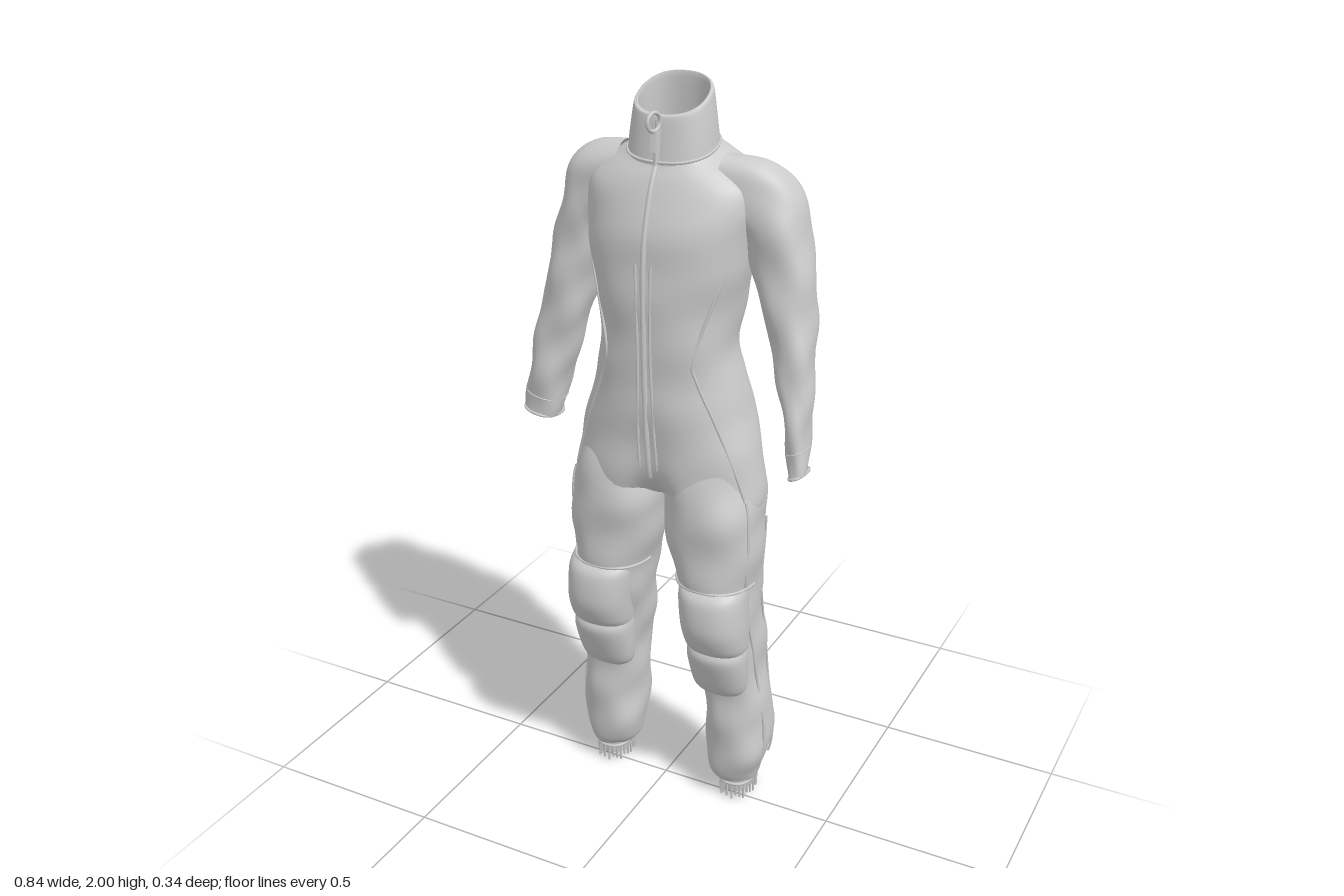
import * as THREE from 'three';

const CX = 0.018; // middle line of the garment
const N = 2.3; // superellipse exponent of all cross-sections
const mat = new THREE.MeshStandardMaterial({ color: 0xcccccc, side: THREE.DoubleSide, roughness: 0.8 });

// A section is [ax, ay, bx, by, zBack, zFront, tilt, pinch]: a and b are its -x and +x ends.
function pointAt(s, t) {
  const c = Math.cos(t), d = Math.sin(t);
  const u = Math.sign(c) * Math.abs(c) ** (2 / N), v = Math.sign(d) * Math.abs(d) ** (2 / N);
  const x = (s[0] + s[2]) / 2 + u * (s[2] - s[0]) / 2;
  const y = (s[1] + s[3]) / 2 + u * (s[3] - s[1]) / 2 + s[6] * v;
  const z = (s[4] + s[5]) / 2 + v * (s[5] - s[4]) / 2;
  return new THREE.Vector3(x, y, z * (1 - s[7] * Math.exp(-(((x - CX) / 0.06) ** 2))));
}

// Smooth in-between sections (Catmull-Rom on every number)
function refine(list, steps = 6) {
  const out = [], at = (i) => list[Math.max(0, Math.min(list.length - 1, i))];
  for (let i = 0; i < list.length - 1; i++) {
    for (let k = 0; k < steps; k++) {
      const w = k / steps;
      out.push(list[i].map((p1, j) => {
        const p0 = at(i - 1)[j], p2 = at(i + 1)[j], p3 = at(i + 2)[j];
        return p1 + 0.5 * w * (p2 - p0 + w * (2 * p0 - 5 * p1 + 4 * p2 - p3 + w * (3 * (p1 - p2) + p3 - p0)));
      }));
    }
  }
  out.push(at(list.length - 1));
  return out;
}

// Skin through the sections, with soft cloth folds pushed along the normals
function loft(name, sections, { fold = 0, cap = false, seg = 56 } = {}) {
  const pos = [], idx = [];
  sections.forEach((s) => {
    for (let j = 0; j < seg; j++) pos.push(...pointAt(s, (j / seg) * Math.PI * 2).toArray());
  });
  for (let i = 0; i < sections.length - 1; i++) {
    for (let j = 0; j < seg; j++) {
      const a = i * seg + j, b = i * seg + ((j + 1) % seg);
      idx.push(a, b, a + seg, b, b + seg, a + seg);
    }
  }
  if (cap) {
    const s = sections[sections.length - 1], base = (sections.length - 1) * seg;
    pos.push((s[0] + s[2]) / 2, (s[1] + s[3]) / 2, (s[4] + s[5]) / 2);
    for (let j = 0; j < seg; j++) idx.push(base + j, base + ((j + 1) % seg), pos.length / 3 - 1);
  }
  const geo = new THREE.BufferGeometry();
  geo.setAttribute('position', new THREE.Float32BufferAttribute(pos, 3));
  geo.setIndex(idx);
  geo.computeVertexNormals();
  if (fold) {
    const p = geo.attributes.position, n = geo.attributes.normal;
    for (let i = 0; i < p.count; i++) {
      const y = p.getY(i), t = ((i % seg) / seg) * Math.PI * 2;
      const d = fold * (Math.sin(y * 41 + 2 * t) + Math.sin(y * 26 - 3 * t)) * 0.5;
      p.setXYZ(i, p.getX(i) + n.getX(i) * d, y + n.getY(i) * d, p.getZ(i) + n.getZ(i) * d);
    }
    geo.computeVertexNormals();
  }
  const mesh = new THREE.Mesh(geo, mat);
  mesh.name = name;
  return mesh;
}

function tube(name, points, r, closed = false) {
  const curve = new THREE.CatmullRomCurve3(points, closed);
  const mesh = new THREE.Mesh(new THREE.TubeGeometry(curve, points.length * 3, r, 6, closed), mat);
  mesh.name = name;
  return mesh;
}

// Cord that runs down a skin between two heights; angle(w) in degrees, w = 0 at the top
function seam(name, sections, y0, y1, angle, r) {
  const pts = [];
  for (const s of sections) {
    const w = (y0 - (s[1] + s[3]) / 2) / (y0 - y1);
    if (w >= 0 && w <= 1) pts.push(pointAt(s, THREE.MathUtils.degToRad(angle(w))));
  }
  return tube(name, pts, r);
}

// Cord along one section, all round or over an arc
function hoop(name, s, r, from = 0, to = 360) {
  const pts = [], closed = to - from === 360, n = 32;
  for (let i = 0; i < n + (closed ? 0 : 1); i++) {
    pts.push(pointAt(s, THREE.MathUtils.degToRad(from + ((to - from) * i) / n)));
  }
  return tube(name, pts, r, closed);
}

const level = ([hw, yb, yf, zb, zf, pinch = 0]) => {
  const y = (yb + yf) / 2;
  return [CX - hw, y, CX + hw, y, zb, zf, (yf - yb) / 2, pinch];
};
const limb = (side) => ([xi, xo, y, zb, zf]) =>
  side > 0 ? [CX + xi, y, CX + xo, y, zb, zf, 0, 0] : [CX - xo, y, CX - xi, y, zb, zf, 0, 0];

export function createModel() {
  const root = new THREE.Group();
  root.name = 'coverall';

  // Torso: half width, y at back, y at front, z back, z front, pinch between the legs
  const torso = refine([
    [0.1, 1.88, 1.83, -0.092, 0.08], [0.118, 1.862, 1.81, -0.1, 0.088], [0.165, 1.838, 1.78, -0.118, 0.105],
    [0.208, 1.81, 1.74, -0.135, 0.122], [0.222, 1.75, 1.69, -0.153, 0.138], [0.218, 1.67, 1.63, -0.167, 0.152],
    [0.205, 1.58, 1.56, -0.167, 0.158], [0.19, 1.48, 1.48, -0.157, 0.158], [0.176, 1.37, 1.37, -0.135, 0.156],
    [0.19, 1.28, 1.28, -0.14, 0.153], [0.215, 1.2, 1.2, -0.153, 0.153, 0.03], [0.24, 1.1, 1.1, -0.15, 0.153, 0.08],
    [0.258, 1.01, 1.01, -0.136, 0.152, 0.2], [0.264, 0.95, 0.95, -0.12, 0.149, 0.5], [0.26, 0.92, 0.92, -0.11, 0.14, 0.85],
  ].map(level));
  root.add(loft('torso', torso, { fold: 0.003, cap: true, seg: 80 }));

  // Standing collar, from the inside over the rim to the base
  const collar = refine([
    [0.09, 1.85, 1.8, -0.08, 0.07], [0.086, 1.99, 1.915, -0.072, 0.062], [0.092, 2.0, 1.925, -0.08, 0.07],
    [0.097, 1.99, 1.915, -0.084, 0.075], [0.106, 1.92, 1.86, -0.09, 0.082], [0.112, 1.86, 1.81, -0.098, 0.088],
  ].map(level), 4);
  root.add(loft('collar', collar));
  root.add(hoop('collarSeam', level([0.112, 1.87, 1.818, -0.097, 0.088]), 0.004));

  // Front zip with its placket edges, pull and ring
  root.add(seam('zip', collar.slice(12), 1.96, 1.8, () => 90, 0.008));
  root.add(seam('zip', torso, 1.86, 1.0, () => 90, 0.008));
  for (const d of [-4, 4]) root.add(seam('placketEdge', torso, 1.6, 1.03, () => 90 + d, 0.004));
  const ring = new THREE.Mesh(new THREE.TorusGeometry(0.022, 0.005, 8, 20), mat);
  ring.name = 'zipRing';
  ring.rotation.y = Math.PI / 2.4;
  ring.position.set(CX, 1.915, 0.098);
  const pull = new THREE.Mesh(new THREE.BoxGeometry(0.014, 0.05, 0.008), mat);
  pull.name = 'zipPull';
  pull.position.set(CX, 1.87, 0.1);
  pull.rotation.x = -0.2;
  root.add(ring, pull);
  root.add(seam('backSeam', torso, 1.3, 0.96, () => 270, 0.003));

  // Arms: inner x, y, outer x, y, z back, z front
  const arms = {
    right: [
      [-0.1, 1.68, -0.12, 1.835, -0.09, 0.05], [-0.15, 1.63, -0.215, 1.822, -0.118, 0.05],
      [-0.18, 1.6, -0.27, 1.775, -0.128, 0.048], [-0.195, 1.54, -0.308, 1.64, -0.12, 0.05],
      [-0.225, 1.42, -0.345, 1.47, -0.1, 0.05], [-0.265, 1.29, -0.378, 1.33, -0.085, 0.05],
      [-0.295, 1.18, -0.402, 1.21, -0.07, 0.054], [-0.325, 1.07, -0.42, 1.09, -0.057, 0.05],
    ],
    left: [
      [0.14, 1.68, 0.16, 1.835, -0.09, 0.05], [0.19, 1.63, 0.255, 1.822, -0.118, 0.045],
      [0.215, 1.6, 0.322, 1.765, -0.125, 0.04], [0.232, 1.54, 0.368, 1.64, -0.11, 0.042],
      [0.28, 1.42, 0.394, 1.47, -0.08, 0.055], [0.322, 1.3, 0.407, 1.33, -0.045, 0.07],
      [0.35, 1.2, 0.413, 1.22, -0.012, 0.082], [0.378, 1.065, 0.417, 1.08, 0.012, 0.092],
    ],
  };
  for (const [side, rows] of Object.entries(arms)) {
    const s = refine(rows.map(([xi, yi, xo, yo, zb, zf]) =>
      side === 'left' ? [xi, yi, xo, yo, zb, zf, 0, 0] : [xo, yo, xi, yi, zb, zf, 0, 0]));
    root.add(loft(side + 'Sleeve', s, { fold: 0.005 }));
    root.add(hoop(side + 'SleeveHem', s[s.length - 1], 0.004), hoop(side + 'SleeveStitch', s[s.length - 4], 0.002));
  }

  for (const side of [1, -1]) {
    const name = side > 0 ? 'left' : 'right', turn = (a) => (side > 0 ? a : 180 - a);

    // Trouser leg: inner x, outer x, y, z back, z front
    const leg = refine([
      [0.025, 0.23, 1.06, -0.12, 0.125], [0.006, 0.262, 0.95, -0.12, 0.15], [0.016, 0.266, 0.85, -0.11, 0.152],
      [0.05, 0.258, 0.7, -0.105, 0.142], [0.068, 0.256, 0.6, -0.12, 0.12], [0.082, 0.26, 0.5, -0.13, 0.09],
      [0.1, 0.268, 0.37, -0.13, 0.062], [0.104, 0.285, 0.25, -0.13, 0.056], [0.108, 0.282, 0.15, -0.127, 0.056],
      [0.124, 0.258, 0.085, -0.112, 0.046], [0.15, 0.246, 0.055, -0.096, 0.03],
    ].map(limb(side)));
    root.add(loft(name + 'Leg', leg, { fold: 0.005 }));

    // Side panel piping: chest to hip, then down the leg
    const hip = (w) => turn(w < 0.4 ? 28 + 60 * w : 52 - 50 * (w - 0.4));
    root.add(seam(name + 'SidePiping', torso, 1.58, 0.95, hip, 0.004));
    root.add(seam(name + 'LegPiping', leg, 0.98, 0.12, (w) => turn(24 - 10 * w), 0.004));
    root.add(seam(name + 'BackPiping', leg, 0.9, 0.12, () => turn(-20), 0.003));

    // Padded knee patch in two quilted halves
    const padTop = refine([
      [0.075, 0.254, 0.72, 0.0, 0.145], [0.074, 0.258, 0.69, 0.0, 0.168], [0.082, 0.26, 0.61, 0.0, 0.173],
      [0.088, 0.258, 0.55, 0.0, 0.152], [0.092, 0.254, 0.525, 0.0, 0.132],
    ].map(limb(side)));
    const padLow = refine([
      [0.092, 0.254, 0.528, 0.0, 0.132], [0.09, 0.257, 0.5, 0.0, 0.137], [0.094, 0.253, 0.43, 0.0, 0.112],
      [0.102, 0.244, 0.385, 0.0, 0.09], [0.125, 0.222, 0.36, 0.0, 0.062],
    ].map(limb(side)));
    root.add(loft(name + 'KneePadUpper', padTop), loft(name + 'KneePadLower', padLow, { cap: true }));
    root.add(hoop(name + 'KneePadTopStitch', limb(side)([0.047, 0.26, 0.72, -0.105, 0.147]), 0.004, 5, 175));

    // Gathered ankle cuff ending in loose ribs
    const rim = limb(side)([0.152, 0.244, 0.05, -0.095, 0.029]);
    root.add(hoop(name + 'AnkleGather', rim, 0.005));
    const cuff = refine([[0.15, 0.246, 0.06, -0.096, 0.03], [0.154, 0.242, 0.025, -0.093, 0.027]].map(limb(side)), 3);
    root.add(loft(name + 'AnkleCuff', cuff));
    const ribs = new THREE.Group();
    ribs.name = name + 'AnkleRibs';
    for (let i = 0; i < 26; i++) {
      const p = pointAt(rim, (i / 26) * Math.PI * 2), h = 0.052 - 0.012 * ((i * 7) % 3) / 2;
      const rib = new THREE.Mesh(new THREE.CylinderGeometry(0.004, 0.003, h, 5), mat);
      rib.name = 'rib';
      rib.position.set(p.x, 0.052 - h / 2, p.z);
      ribs.add(rib);
    }
    root.add(ribs);
  }
  return root;
}
